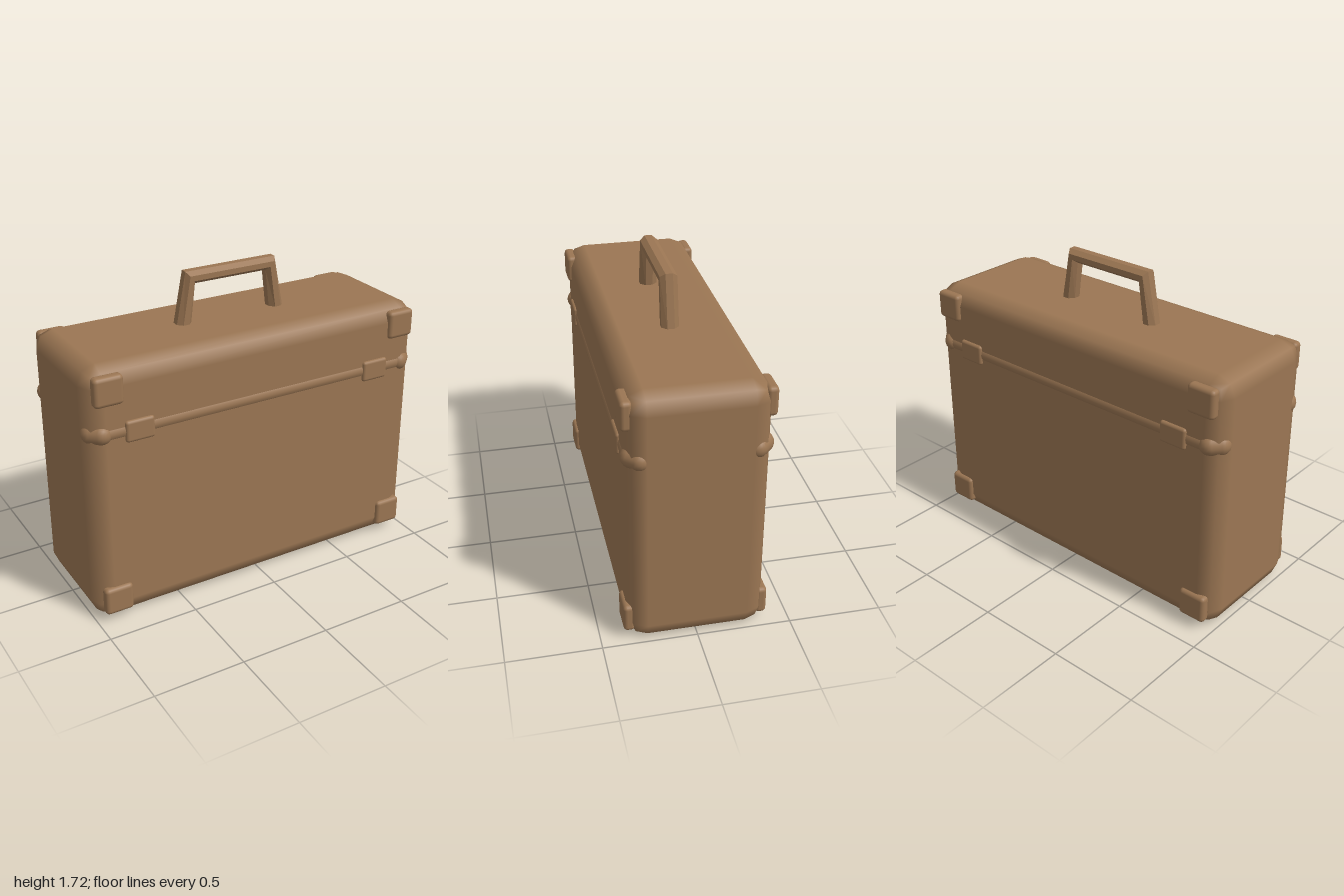
import * as THREE from 'three';
import { RoundedBoxGeometry } from 'three/addons/geometries/RoundedBoxGeometry.js';

const leather = new THREE.MeshStandardMaterial({ color: 0x9b7653 });
leather.name = 'tan leather';

function add(parent, name, geometry, x = 0, y = 0, z = 0) {
  const mesh = new THREE.Mesh(geometry, leather);
  mesh.name = name;
  mesh.position.set(x, y, z);
  parent.add(mesh);
  return mesh;
}

// Faceted bar swept through four mitred stations between an outer and an inner outline
function handleGeometry() {
  const outer = [[-0.327, 1.43], [-0.27, 1.72], [0.27, 1.72], [0.327, 1.43]];
  const inner = [[-0.241, 1.43], [-0.215, 1.65], [0.215, 1.65], [0.241, 1.43]];
  const sides = 8, halfDepth = 0.046, pos = [], index = [];
  outer.forEach(([ox, oy], i) => {
    const [ix, iy] = inner[i];
    for (let k = 0; k < sides; k++) {
      const a = ((k + 0.5) / sides) * Math.PI * 2, s = 1 / Math.cos(Math.PI / sides);
      const t = (Math.cos(a) * s + 1) / 2;
      pos.push(ix + (ox - ix) * t, iy + (oy - iy) * t, Math.sin(a) * s * halfDepth);
    }
  });
  for (let i = 0; i < outer.length - 1; i++) {
    for (let k = 0; k < sides; k++) {
      const a = i * sides + k, b = i * sides + ((k + 1) % sides);
      index.push(a, b, a + sides, b, b + sides, a + sides);
    }
  }
  const indexed = new THREE.BufferGeometry();
  indexed.setAttribute('position', new THREE.Float32BufferAttribute(pos, 3));
  indexed.setIndex(index);
  const flat = indexed.toNonIndexed();
  flat.computeVertexNormals();
  return flat;
}

export function createModel() {
  const group = new THREE.Group();
  group.name = 'suitcase';

  // Case with softly bevelled edges
  add(group, 'caseBody', new RoundedBoxGeometry(2, 1.44, 0.72, 1, 0.1), 0, 0.72, 0);
  add(group, 'handle', handleGeometry());

  const pad = new RoundedBoxGeometry(0.16, 0.157, 0.06, 2, 0.022);
  const clasp = new RoundedBoxGeometry(0.16, 0.118, 0.06, 2, 0.016);
  const band = new THREE.CylinderGeometry(0.05, 0.05, 1.84, 16);
  const knuckle = new THREE.CapsuleGeometry(0.056, 0.05, 6, 16);

  for (const z of [1, -1]) {
    const face = z > 0 ? 'front' : 'back';

    // Rolled seam along the lid
    add(group, face + 'Band', band, 0, 1.09, z * 0.318).rotation.z = Math.PI / 2;

    for (const x of [1, -1]) {
      // Rounded seam end wrapping the corner
      const end = add(group, face + 'BandEnd', knuckle, x * 0.93, 1.088, z * 0.304);
      const along = new THREE.Vector3(x, 0, -z).normalize();
      end.quaternion.setFromUnitVectors(new THREE.Vector3(0, 1, 0), along);

      add(group, face + 'Clasp', clasp, x * 0.72, 1.087, z * 0.346);
      for (const y of [0.127, 1.327]) {
        add(group, face + 'CornerPad', pad, x * 0.88, y, z * 0.35);
      }
    }
  }
  return group;
}
